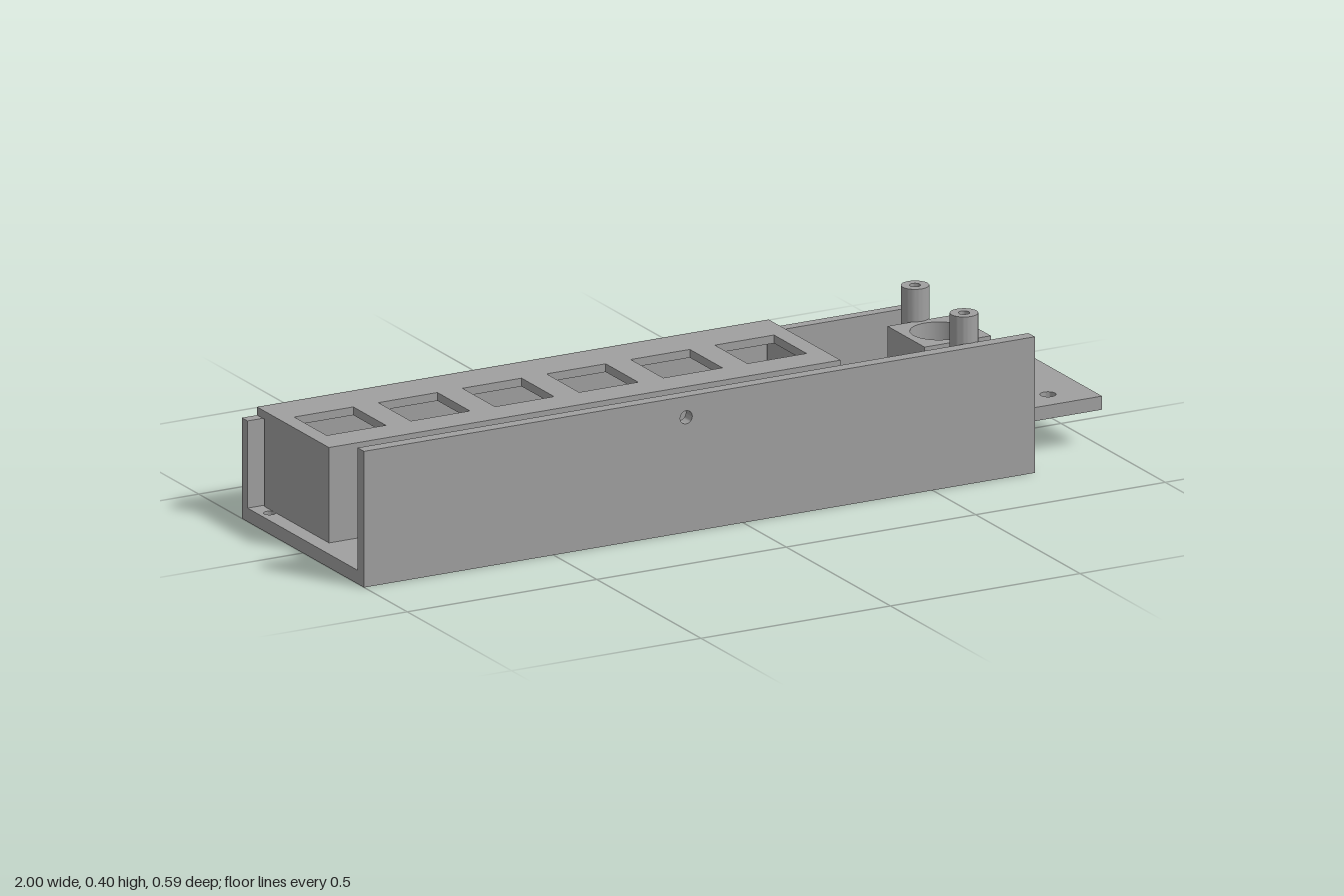
import * as THREE from 'three';
import { toCreasedNormals } from 'three/addons/utils/BufferGeometryUtils.js';

const grey = new THREE.MeshStandardMaterial({ color: 0xa0a0a0 });
grey.name = 'grey plastic';

// Rectangle as a path
function rect(Kind, a0, b0, a1, b1) {
  const p = new Kind();
  p.moveTo(a0, b0);
  p.lineTo(a1, b0);
  p.lineTo(a1, b1);
  p.lineTo(a0, b1);
  p.closePath();
  return p;
}

function circle(Kind, a, b, r) {
  const p = new Kind();
  p.absarc(a, b, r, 0, Math.PI * 2, false);
  return p;
}

function extrude(shape, holes, depth) {
  shape.holes.push(...holes);
  const g = new THREE.ExtrudeGeometry(shape, { depth, bevelEnabled: false, curveSegments: 20 });
  return toCreasedNormals(g, 0.6);
}

// Outline drawn in plan (second coordinate is -z), raised from y0 to y1
function plan(name, shape, holes, y0, y1) {
  const g = extrude(shape, holes, y1 - y0);
  g.rotateX(-Math.PI / 2);
  g.translate(0, y0, 0);
  const m = new THREE.Mesh(g, grey);
  m.name = name;
  return m;
}

function box(name, x0, x1, y0, y1, z0, z1) {
  const g = new THREE.BoxGeometry(x1 - x0, y1 - y0, z1 - z0);
  g.translate((x0 + x1) / 2, (y0 + y1) / 2, (z0 + z1) / 2);
  const m = new THREE.Mesh(g, grey);
  m.name = name;
  return m;
}

export function createModel() {
  const model = new THREE.Group();
  model.name = 'channelHousing';
  const { Shape, Path } = THREE;
  const floorY = 0.033;
  const zOut = 0.293;

  // Six square openings, shared by floor and cover
  const windows = () => Array.from({ length: 6 }, (_, i) => {
    const x = -0.921 + i * 0.222;
    return rect(Path, x, 0.03, x + 0.156, 0.186);
  });

  // Floor
  model.add(plan('floor', rect(Shape, -1, -zOut, 0.77, zOut),
    [...windows(), circle(Path, 0.617, -0.11, 0.02), circle(Path, -0.973, 0.21, 0.014)], 0, floorY));

  // Tall front wall with a small hole
  const frontGeo = extrude(rect(Shape, -1, floorY, 0.77, 0.331), [circle(Path, -0.15, 0.28, 0.016)], 0.031);
  frontGeo.translate(0, 0, zOut - 0.031);
  const front = new THREE.Mesh(frontGeo, grey);
  front.name = 'frontWall';
  model.add(front);

  // Lower back wall
  model.add(box('backWall', -1, 0.77, floorY, 0.245, -zOut, -0.266));

  // Hollow compartment: cover resting on the back wall, front side and two ends
  const cover = new THREE.Group();
  cover.name = 'compartment';
  cover.add(plan('coverTop', rect(Shape, -0.96, -0.052, 0.39, zOut), windows(), 0.245, 0.265));
  cover.add(box('compartmentFront', -0.96, 0.39, floorY, 0.245, 0.028, 0.052));
  cover.add(box('compartmentRightEnd', -0.96, -0.936, floorY, 0.245, -0.258, 0.028));
  cover.add(box('compartmentLeftEnd', 0.366, 0.39, floorY, 0.245, -0.258, 0.028));
  model.add(cover);

  // Square block with a round bore
  model.add(plan('boredBlock', rect(Shape, 0.53, -0.2, 0.705, -0.022),
    [circle(Path, 0.617, -0.11, 0.067)], floorY, 0.317));

  // Screw pillars on both sides of the block
  for (const z of [-0.004, 0.231]) {
    model.add(plan('screwPillar', circle(Shape, 0.617, -z, 0.033),
      [circle(Path, 0.617, -z, 0.013)], floorY, 0.396));
  }

  // End bracket: notched upright plate carrying a horizontal tab
  const bracket = new THREE.Group();
  bracket.name = 'endBracket';
  bracket.add(box('bracketUpright', 0.752, 0.782, 0, 0.075, -0.25, 0.197));
  bracket.add(box('bracketUprightBack', 0.752, 0.782, 0.075, 0.09, -0.25, -0.188));
  bracket.add(box('bracketUprightFront', 0.752, 0.782, 0.075, 0.09, -0.076, 0.197));
  const tab = new Shape();
  [[0.752, -0.197], [1, -0.197], [1, 0.25], [0.752, 0.25], [0.752, 0.188],
    [0.865, 0.188], [0.865, 0.076], [0.752, 0.076]]
    .forEach(([x, y], i) => (i ? tab.lineTo(x, y) : tab.moveTo(x, y)));
  tab.closePath();
  bracket.add(plan('bracketTab', tab,
    [circle(Path, 0.897, 0.052, 0.019), circle(Path, 0.897, -0.125, 0.019)], 0.09, 0.123));
  model.add(bracket);

  return model;
}
